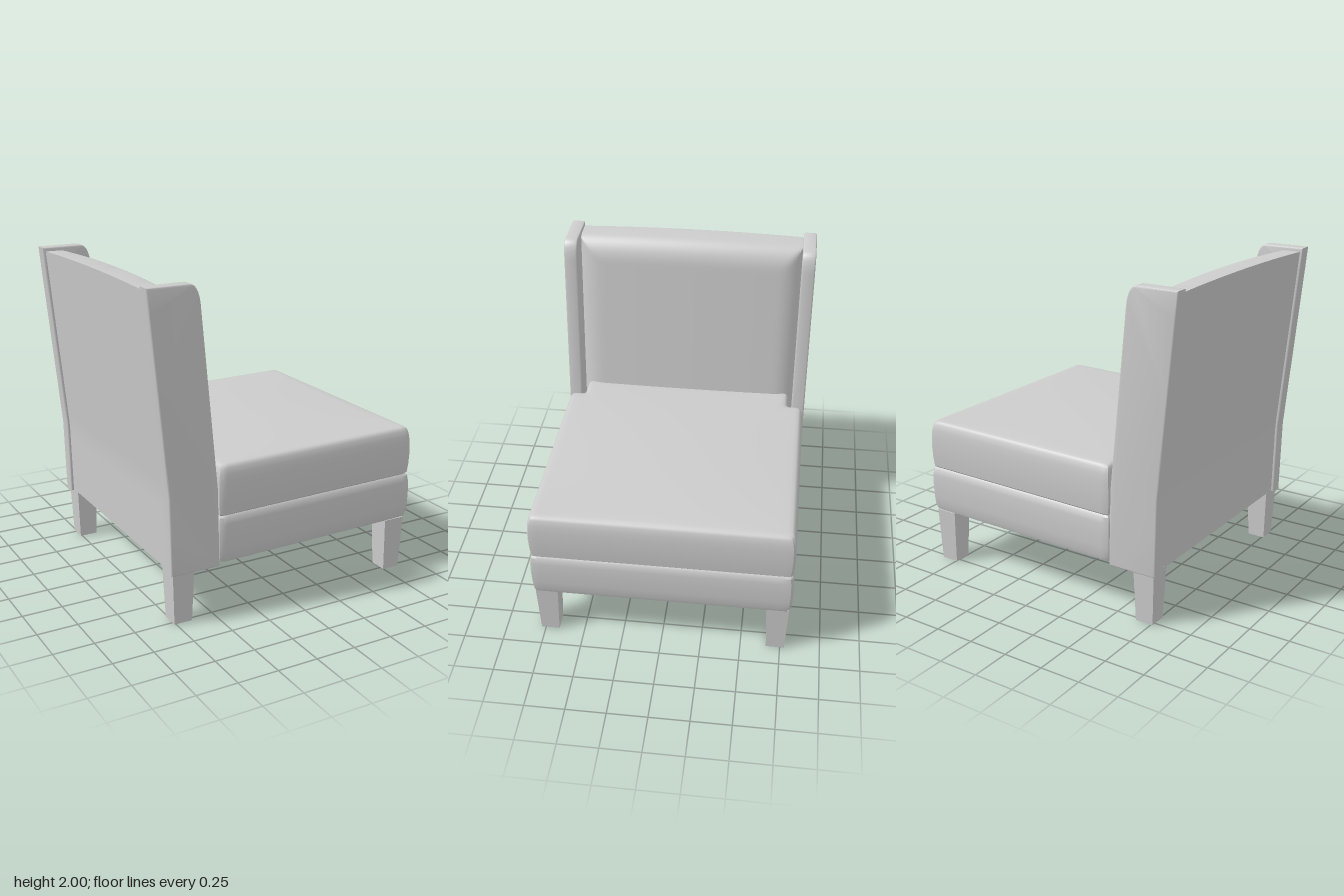
import * as THREE from 'three';
import { toCreasedNormals } from 'three/addons/utils/BufferGeometryUtils.js';

const material = new THREE.MeshStandardMaterial({ color: 0xcccccc });
const flatMaterial = new THREE.MeshStandardMaterial({ color: 0xcccccc, flatShading: true });

// Backward lean shared by the wings and the backrest
const lean = (y) => 0.02 * (y - 0.32) + 0.075 * Math.max(0, y - 0.8);

// Skin over closed rings of points, both ends closed with fans
function loft(rings, crease = 0.6) {
  const n = rings[0].length;
  const pos = rings.flat().flatMap((p) => [p.x, p.y, p.z]);
  const index = [];
  for (let i = 0; i < rings.length - 1; i++) {
    for (let j = 0; j < n; j++) {
      const k = (j + 1) % n;
      const a = i * n + j, b = i * n + k, c = b + n, d = a + n;
      index.push(a, b, c, a, c, d);
    }
  }
  [0, rings.length - 1].forEach((r, end) => {
    const mid = new THREE.Vector3();
    rings[r].forEach((p) => mid.addScaledVector(p, 1 / n));
    const m = pos.length / 3;
    pos.push(mid.x, mid.y, mid.z);
    for (let j = 0; j < n; j++) {
      const a = r * n + j, b = r * n + ((j + 1) % n);
      index.push(m, ...(end ? [a, b] : [b, a]));
    }
  });
  const geo = new THREE.BufferGeometry();
  geo.setAttribute('position', new THREE.Float32BufferAttribute(pos, 3));
  geo.setIndex(index);
  return toCreasedNormals(geo, crease);
}

// T-shaped seat plan: full width in front, narrower between the wings
function seatOutline() {
  const corners = [[0.9, -0.803], [0.9, 0.803], [-0.47, 0.803], [-0.47, 0.705],
    [-0.64, 0.705], [-0.64, -0.705], [-0.47, -0.705], [-0.47, -0.803]]
    .map(([x, y]) => new THREE.Vector2(x, y));
  const shape = new THREE.Shape();
  corners.forEach((c, i) => {
    const prev = corners[(i + 7) % 8], next = corners[(i + 1) % 8];
    const a = c.clone().add(prev.clone().sub(c).setLength(0.025));
    const b = c.clone().add(next.clone().sub(c).setLength(0.025));
    if (i) shape.lineTo(a.x, a.y); else shape.moveTo(a.x, a.y);
    shape.quadraticCurveTo(c.x, c.y, b.x, b.y);
  });
  shape.closePath();
  return shape.getSpacedPoints(240).slice(0, -1);
}

// Upholstered layer; profile rows are [inset, height], crown swells the top
function seatLayer(profile, crown) {
  const cx = 0.15, outline = seatOutline();
  const ring = (inset, y, k, swell) => outline.map((p) => {
    const x = cx + (p.x - cx) * (1 - inset / 0.75) * k;
    const z = -p.y * (1 - inset / 0.8) * k;
    const u = (x - cx) / 0.79, v = z / 0.8;
    const bulge = swell * Math.max(0, 1 - u * u) * Math.max(0, 1 - v * v);
    return new THREE.Vector3(x, y + 0.0135 * (x + 0.47) + bulge, z);
  });
  const rings = profile.map(([inset, y]) => ring(inset, y, 1, 0));
  if (crown) {
    const [inset, y] = profile[profile.length - 1];
    for (const k of [0.97, 0.9, 0.8, 0.65, 0.5, 0.35, 0.2, 0.05]) rings.push(ring(inset, y, k, crown));
  }
  return loft(rings);
}

// Backrest: side profiles joined across the width, front rounded at top and sides
function backrest() {
  const half = 0.735, bottom = 0.33, steps = 40;
  const round = (d) => {
    const t = 1 - Math.min(1, Math.max(0, d / 0.15));
    return 0.1 * (1 - Math.sqrt(1 - t * t * 0.99));
  };
  const rings = [];
  for (let i = 0; i <= 48; i++) {
    const z = -half * Math.cos((Math.PI * i) / 48);
    const arch = 1 - (z / half) ** 2;
    const top = 1.975 + 0.015 * arch;
    const height = (j) => bottom + (top - bottom) * Math.sin((Math.PI / 2) * (j / steps));
    const ring = [];
    for (let j = 0; j <= steps; j++) {
      const y = height(j);
      const recess = Math.max(round(half - Math.abs(z)), round(top - y));
      ring.push(new THREE.Vector3(-0.575 + 0.018 * arch - lean(y) - recess, y, z));
    }
    for (let j = steps; j >= 0; j--) {
      const y = height(j);
      ring.push(new THREE.Vector3(-0.772 - lean(y), y, z));
    }
    rings.push(ring);
  }
  return loft(rings, 0.7);
}

// Wing panel with a leaning outline and rounded front top corner
function wing() {
  const b = 0.01, shape = new THREE.Shape();
  const frontX = (y) => -0.475 - lean(y) - b;
  const backX = (y) => -0.79 - lean(y) + b;
  const heights = [0.33, 0.6, 0.8, 0.95, 1.1, 1.4, 1.86];
  heights.forEach((y, i) => (i ? shape.lineTo(frontX(y), y) : shape.moveTo(frontX(y), y)));
  shape.bezierCurveTo(-0.602, 1.95, -0.625, 1.988, -0.655, 1.99);
  shape.lineTo(backX(1.99), 1.99);
  heights.reverse().forEach((y) => shape.lineTo(backX(y), y));
  const geo = new THREE.ExtrudeGeometry(shape, {
    depth: 0.065, bevelSize: b, bevelThickness: b, bevelSegments: 3, curveSegments: 12,
  });
  geo.translate(0, 0, -0.0325);
  return toCreasedNormals(geo, 0.6);
}

export function createModel() {
  const chair = new THREE.Group();
  chair.name = 'armlessChair';
  const add = (name, geo, x = 0, y = 0, z = 0, mat = material) => {
    const mesh = new THREE.Mesh(geo, mat);
    mesh.name = name;
    mesh.position.set(x, y, z);
    chair.add(mesh);
    return mesh;
  };

  // Seat base and cushion, separated by a seam groove
  add('seatBase', seatLayer([[0.028, 0.323], [0.012, 0.333], [0.003, 0.36], [-0.002, 0.42],
    [-0.004, 0.5], [-0.002, 0.57], [0.004, 0.61], [0.014, 0.621]], 0));
  add('seatCushion', seatLayer([[0.016, 0.62], [0.006, 0.63], [0.001, 0.68], [-0.002, 0.76],
    [0, 0.83], [0.004, 0.875], [0.012, 0.91], [0.021, 0.925], [0.032, 0.931]], 0.03));

  // Back and its two wings
  add('backrest', backrest());
  const wingGeo = wing();
  const legGeo = new THREE.CylinderGeometry(0.099, 0.081, 0.345, 4);
  legGeo.rotateY(Math.PI / 4);
  for (const side of [-1, 1]) {
    add(side > 0 ? 'frontSideWing' : 'rearSideWing', wingGeo, 0, 0, side * 0.7665);
    // Tapered square legs
    add('frontLeg', legGeo, 0.805, 0.1725, side * 0.72, flatMaterial);
    add('backLeg', legGeo, -0.703, 0.1725, side * 0.72, flatMaterial);
  }
  return chair;
}
